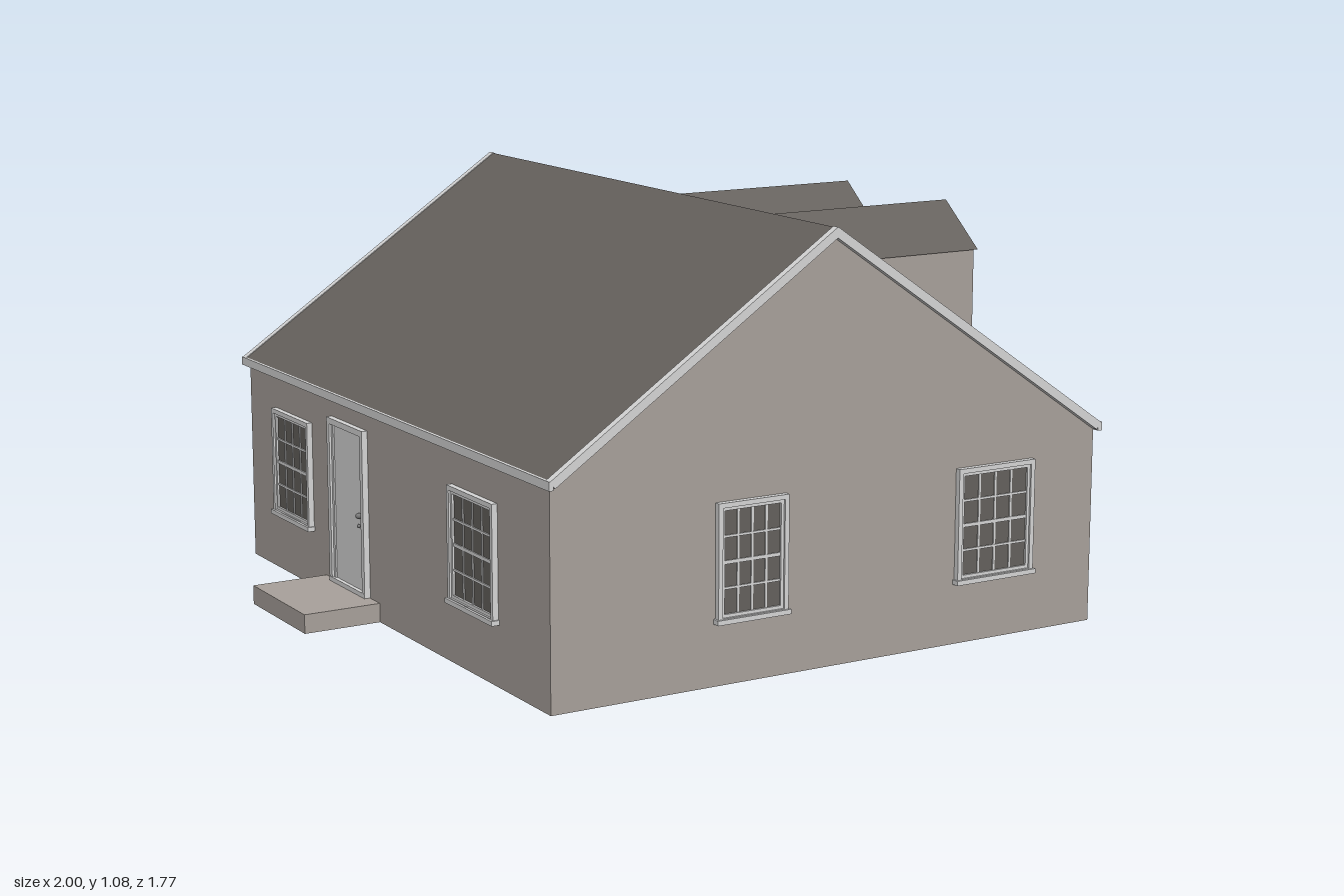
import * as THREE from 'three';

const mat = (name, color, side = THREE.FrontSide) => {
  const m = new THREE.MeshStandardMaterial({ color, side });
  m.name = name;
  return m;
};

export function createModel() {
  const model = new THREE.Group();
  model.name = 'house';
  const siding = mat('siding', 0xa8a19b, THREE.DoubleSide);
  const shingle = mat('shingle', 0x66625e, THREE.DoubleSide);
  const trim = mat('trim', 0xd6d6d6);
  const glass = mat('glass', 0x64615d);
  const metal = mat('metal', 0x7c7c7c);

  const group = (name, parent = model) => {
    const g = new THREE.Group();
    g.name = name;
    parent.add(g);
    return g;
  };
  const box = (parent, name, material, w, h, d, x, y, z) => {
    const m = new THREE.Mesh(new THREE.BoxGeometry(w, h, d), material);
    m.name = name;
    m.position.set(x, y, z);
    parent.add(m);
    return m;
  };
  // Flat convex panel from its corners in order
  const panel = (parent, name, material, pts) => {
    const g = new THREE.BufferGeometry();
    const idx = [];
    for (let i = 1; i < pts.length - 1; i++) idx.push(0, i, i + 1);
    g.setAttribute('position', new THREE.Float32BufferAttribute(pts.flat(), 3));
    g.setIndex(idx);
    g.computeVertexNormals();
    const m = new THREE.Mesh(g, material);
    m.name = name;
    parent.add(m);
  };

  // Main dimensions
  const L = -0.79, R = 0.785, RB = 0.745, F = 0.865, B = -0.855, JOG = -0.28;
  const RX = -0.02, RY = 1.08;
  const roofY = x => RY - (x > RX ? 0.687 * (x - RX) : 0.673 * (RX - x));

  // Walls: two gables, left wall, and a right wall stepping in at the back
  const walls = group('walls');
  const gable = (name, z, r) => panel(walls, name, siding, [
    [L, 0, z], [r, 0, z], [r, roofY(r) - 0.004, z], [RX, RY - 0.004, z], [L, roofY(L) - 0.004, z]]);
  const wall = (name, x0, z0, x1, z1, h) => panel(walls, name, siding, [
    [x0, 0, z0], [x1, 0, z1], [x1, h, z1], [x0, h, z0]]);
  gable('frontGable', F, R);
  panel(walls, 'backGable', siding, [
    [RX, RY - 0.004, B], [RB, roofY(RB) - 0.004, B], [RB, 0, B], [L, 0, B], [L, roofY(L) - 0.004, B]]);
  wall('leftWall', L, B, L, F, roofY(L) - 0.004);
  wall('rightWall', R, F, R, JOG, roofY(R) - 0.004);
  wall('jogWall', R, JOG, RB, JOG, roofY(R) - 0.004);
  wall('rightBackWall', RB, JOG, RB, B, roofY(RB) - 0.004);

  // Roof slopes
  const roof = group('roof');
  const EL = -0.797, ER = 0.792, ERB = 0.75, ZF = 0.88, ZB = -0.88, ZJ = -0.288;
  const slope = (name, x, z0, z1) => panel(roof, name, shingle, [
    [RX, RY, z0], [RX, RY, z1], [x, roofY(x), z1], [x, roofY(x), z0]]);
  slope('leftSlope', EL, ZB, ZF);
  slope('rightSlope', ER, ZJ, ZF);
  slope('rightBackSlope', ERB, ZB, ZJ);

  // White boards along the gable slopes and eaves
  const rake = (x, z) => {
    const dx = x - RX, dy = roofY(x) - RY, len = Math.hypot(dx, dy);
    const s = Math.sign(dx);
    const a = Math.atan2(dy * s, dx * s);
    const m = box(roof, 'rakeBoard', trim, len, 0.022, 0.02,
      (x + RX) / 2 + Math.sin(a) * 0.009, (roofY(x) + RY) / 2 - Math.cos(a) * 0.009, z);
    m.rotation.z = a;
  };
  rake(EL, 0.875);
  rake(ER, 0.875);
  rake(EL, -0.875);
  rake(ERB, -0.875);
  const fascia = (x, z0, z1) => box(roof, 'fascia', trim, 0.012, 0.022, z1 - z0,
    x, roofY(x) - 0.01, (z0 + z1) / 2);
  fascia(EL + 0.001, -0.885, 0.885);
  fascia(ER - 0.001, ZJ, 0.885);
  fascia(ERB - 0.001, -0.885, ZJ);

  // Window centred on a wall surface, seen from both sides
  const makeWindow = (name, x, z, turn, w, y0, y1, border = 0.02, sill = true) => {
    const g = group(name);
    g.position.set(x, (y0 + y1) / 2, z);
    g.rotation.y = turn;
    const h = y1 - y0, iw = w - 2 * border, ih = h - 2 * border;
    box(g, 'glass', glass, iw, ih, 0.009, 0, 0, 0);
    for (const s of [-1, 1]) {
      box(g, 'sideCasing', trim, 0.012, h, 0.03, s * (w / 2 - 0.006), 0, 0);
      box(g, 'headCasing', trim, w - 0.024, 0.012, 0.03, 0, s * (h / 2 - 0.006), 0);
      box(g, 'sashSide', trim, border - 0.012, h - 0.024, 0.02, s * (iw / 2 + (border - 0.012) / 2), 0, 0);
      box(g, 'sashRail', trim, iw, border - 0.012, 0.02, 0, s * (ih / 2 + (border - 0.012) / 2), 0);
    }
    for (const i of [-1, 0, 1]) {
      box(g, 'uprightBar', trim, 0.006, ih, 0.014, i * iw / 4, 0, 0);
      box(g, 'crossBar', trim, iw, i ? 0.006 : 0.009, 0.015, 0, i * ih / 4, 0);
    }
    if (sill) box(g, 'sill', trim, w + 0.01, 0.012, 0.042, 0, -h / 2 + 0.004, 0);
  };
  const T = Math.PI / 2;
  makeWindow('frontWindowLeft', 0.473, F, 0, 0.235, 0.157, 0.45);
  makeWindow('frontWindowRight', -0.246, F, 0, 0.198, 0.157, 0.45);
  makeWindow('backWindow', 0.583, B, Math.PI, 0.2, 0.157, 0.45);
  makeWindow('rightWindowFront', R, 0.491, T, 0.237, 0.157, 0.45);
  makeWindow('rightWindowBack', RB, -0.563, T, 0.237, 0.157, 0.45);
  makeWindow('leftWindowFront', L, 0.491, -T, 0.237, 0.157, 0.45);
  makeWindow('leftWindowBack', L, -0.565, -T, 0.237, 0.157, 0.45);

  // Door with casing, knob and a hollow step in front
  const makeDoor = (name, x, z, turn) => {
    const g = group(name);
    g.position.set(x, 0, z);
    g.rotation.y = turn;
    box(g, 'doorLeaf', trim, 0.165, 0.42, 0.012, 0, 0.27, 0);
    for (const s of [-1, 1]) {
      box(g, 'outerCasing', trim, 0.016, 0.43, 0.032, s * 0.1, 0.275, 0);
      box(g, 'innerCasing', trim, 0.01, 0.42, 0.02, s * 0.087, 0.27, 0);
      for (const y of [0.235, 0.262]) {
        const k = new THREE.Mesh(new THREE.SphereGeometry(y > 0.25 ? 0.008 : 0.005, 10, 8), metal);
        k.name = 'knob';
        k.position.set(0.069, y, s * 0.011);
        g.add(k);
      }
    }
    box(g, 'headCasing', trim, 0.216, 0.016, 0.032, 0, 0.484, 0);
    box(g, 'threshold', trim, 0.216, 0.012, 0.034, 0, 0.057, 0);
    const step = box(g, 'step', siding, 0.328, 0.05, 1 - Math.abs(x), 0, 0.025, (1 - Math.abs(x)) / 2);
    // Leave the underside of the step open
    const index = Array.from(step.geometry.index.array);
    index.splice(18, 6);
    step.geometry.setIndex(index);
    step.geometry.clearGroups();
  };
  makeDoor('rightDoor', R, -0.006, T);
  makeDoor('leftDoor', L, -0.21, -T);

  // Two gabled dormers on the right slope
  for (const c of [0.443, -0.006]) {
    const g = group('dormer');
    const x = 0.61, ey = 0.94, py = 1.053, hw = 0.137;
    const backX = y => RX + (RY - y) / 0.687;
    panel(g, 'dormerFront', siding, [
      [x, 0.65, c + hw], [x, 0.65, c - hw], [x, ey, c - hw], [x, py - 0.004, c], [x, ey, c + hw]]);
    for (const s of [-1, 1]) {
      const z = c + s * hw, ze = c + s * (hw + 0.004);
      panel(g, 'dormerSide', siding, [[x, roofY(x), z], [x, ey, z], [backX(ey), ey, z]]);
      panel(g, 'dormerRoof', shingle, [
        [x + 0.01, py, c], [backX(py), py, c], [backX(ey), ey, ze], [x + 0.01, ey, ze]]);
    }
    makeWindow('dormerWindow', x, c, T, 0.215, 0.67, 0.915, 0.03, false);
  }
  return model;
}
